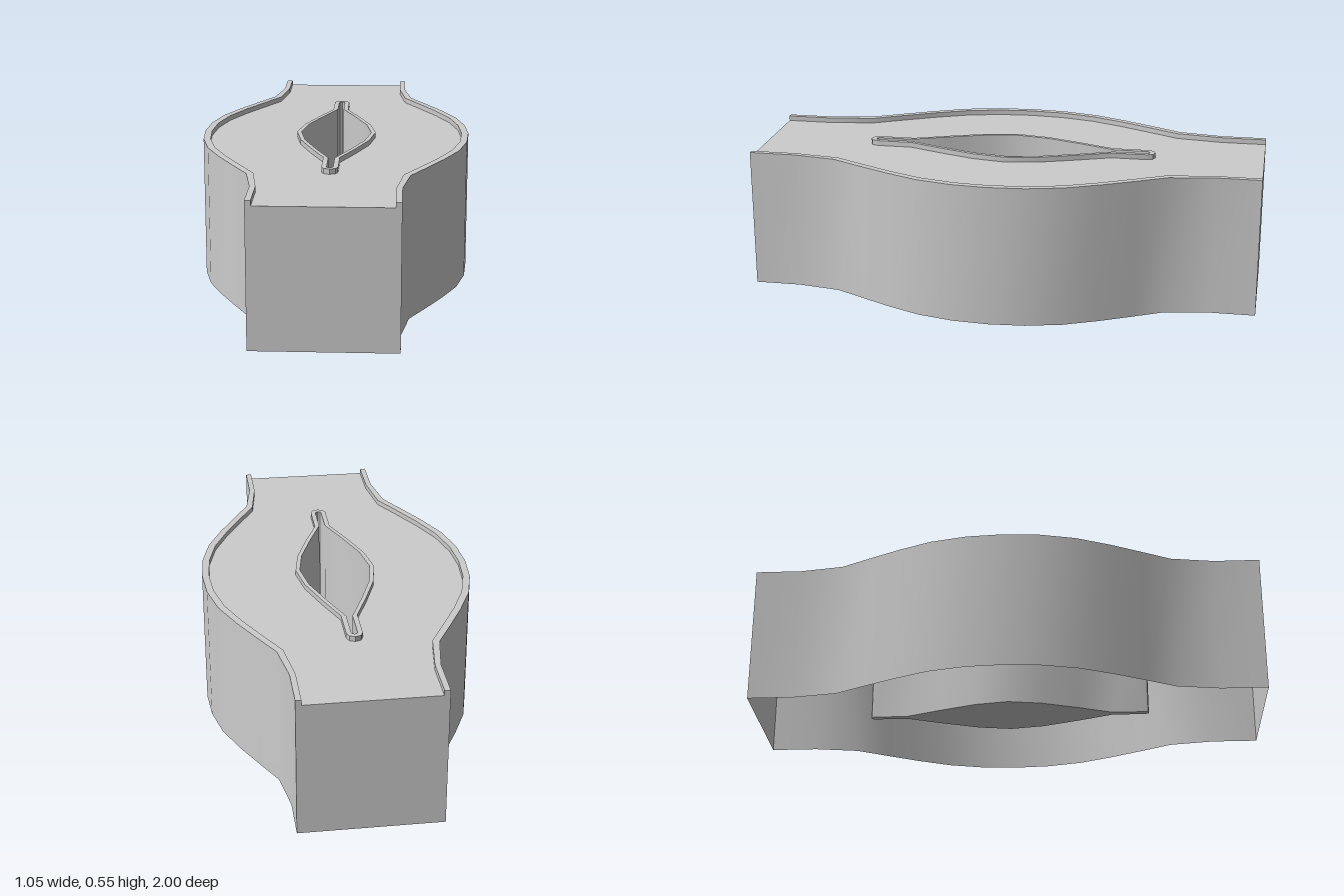
import * as THREE from 'three';
import { toCreasedNormals } from 'three/addons/utils/BufferGeometryUtils.js';

const TOP = 0.55, DECK = 0.53, FLOOR = 0.02;

// Quarter profiles as [x, z], from the wide middle towards the end
const OUTER = [[0.527, 0], [0.517, 0.14], [0.483, 0.28], [0.425, 0.41], [0.36, 0.535], [0.298, 0.65], [0.27, 0.82], [0.27, 1]];
const OUTER_IN = [[0.5, 0], [0.49, 0.135], [0.457, 0.27], [0.4, 0.4], [0.335, 0.525], [0.273, 0.64], [0.248, 0.82], [0.248, 1]];
const LENS = [[0.157, 0], [0.135, 0.13], [0.085, 0.27], [0.031, 0.405], [0.031, 0.545], [0.022, 0.567], [0, 0.576]];
const LENS_IN = [[0.14, 0], [0.118, 0.13], [0.066, 0.275], [0.012, 0.41], [0.012, 0.54], [0.009, 0.55], [0, 0.554]];

// Right-hand side of an outline, running from the front to the back
const side = (q) => [
  ...q.slice(1).reverse().map(([x, z]) => [x, -z]),
  ...q,
];
// The same side turned round to the left, running from the back to the front
const turned = (pts) => pts.map(([x, y]) => [-x, -y]);

// Full closed outline, counterclockwise seen from above
function outline(q) {
  const s = side(q);
  const pointed = q[q.length - 1][0] === 0;
  const t = turned(s);
  return pointed ? [...s.slice(0, -1), ...t.slice(0, -1)] : [...s, ...t];
}

const toVectors = (pts) => pts.map(([x, y]) => new THREE.Vector2(x, y));

export function createModel() {
  const group = new THREE.Group();
  const material = new THREE.MeshStandardMaterial({ color: 0xcccccc, side: THREE.DoubleSide });

  const add = (name, geometry) => {
    const mesh = new THREE.Mesh(geometry, material);
    mesh.name = name;
    group.add(mesh);
  };

  // Upright sheet following a path between two heights
  function wall(name, pts, y0, y1, closed = false) {
    const position = [], index = [];
    pts.forEach(([x, y]) => position.push(x, y0, -y, x, y1, -y));
    const n = pts.length;
    for (let i = 0; i < (closed ? n : n - 1); i++) {
      const a = 2 * i, b = 2 * ((i + 1) % n);
      index.push(a, b, b + 1, a, b + 1, a + 1);
    }
    const geometry = new THREE.BufferGeometry();
    geometry.setAttribute('position', new THREE.Float32BufferAttribute(position, 3));
    geometry.setIndex(index);
    add(name, toCreasedNormals(geometry, 0.65));
  }

  // Level sheet with an optional hole
  function sheet(name, pts, y, hole) {
    const shape = new THREE.Shape(toVectors(pts));
    if (hole) shape.holes.push(new THREE.Path(toVectors(hole)));
    add(name, new THREE.ShapeGeometry(shape).rotateX(-Math.PI / 2).translate(0, y, 0));
  }

  // Curved side walls with a raised rim along the top
  const outer = side(OUTER), inner = side(OUTER_IN);
  for (const [label, place] of [['left', (p) => p], ['right', turned]]) {
    const o = place(outer), i = place(inner);
    wall(label + 'SideWall', o, 0, TOP);
    wall(label + 'RimInnerFace', [...i].reverse(), DECK, TOP);
    sheet(label + 'RimTop', [...o, ...[...i].reverse()], TOP);
    // Small end faces of the rim
    wall(label + 'RimEndA', [i[0], o[0]], DECK, TOP);
    wall(label + 'RimEndB', [o[o.length - 1], i[i.length - 1]], DECK, TOP);
  }

  // Flat end walls
  wall('frontWall', [[-0.27, -1], [0.27, -1]], 0, DECK);
  wall('backWall', [[0.27, 1], [-0.27, 1]], 0, DECK);

  // Deck with the opening for the pocket
  const lens = outline(LENS), lensIn = outline(LENS_IN);
  sheet('deck', outline(OUTER), DECK, lens);

  // Pocket with a raised lip and a closed floor
  wall('pocketLipOuterFace', lens, DECK, TOP, true);
  sheet('pocketLipTop', lens, TOP, lensIn);
  wall('pocketWall', lensIn, FLOOR, TOP, true);
  sheet('pocketFloor', lensIn, FLOOR);

  return group;
}
